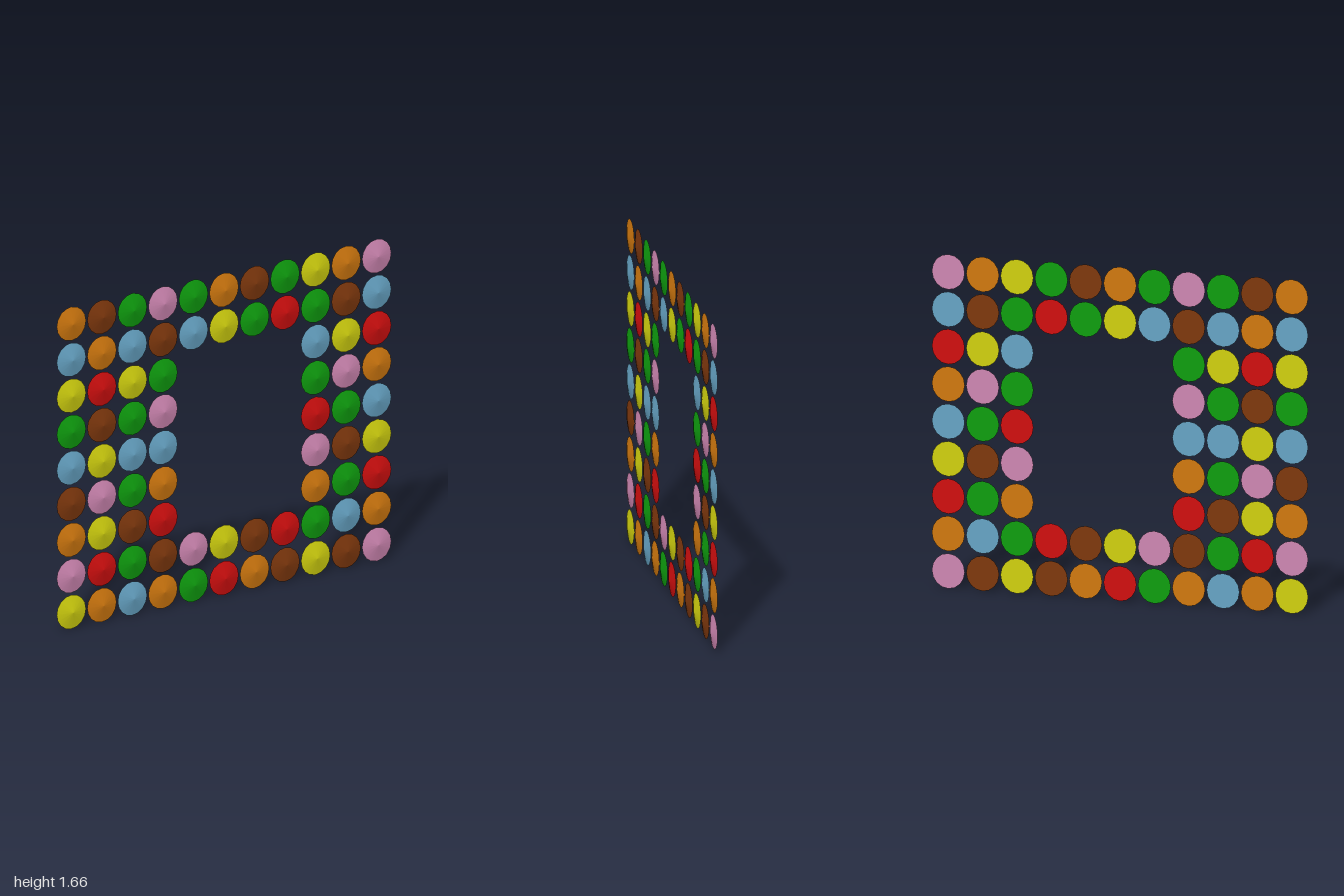
import * as THREE from 'three';

const COLORS = {
  O: ['orange', 0xd2790f], N: ['brown', 0x7f380d], G: ['green', 0x0f9f0f],
  P: ['pink', 0xd087b3], B: ['blue', 0x67a5c6], Y: ['yellow', 0xd2d20f], R: ['red', 0xd20f0f],
};

// Frame pattern: rows from top to bottom, columns from +z to -z, dots are the opening
const ROWS = [
  'ONGPGONGYOP',
  'BOBNBYGRGNB',
  'YRYG....BYR',
  'GNGP....GPO',
  'BYBB....RGB',
  'NPGO....PNY',
  'OYNR....OGR',
  'PRGNPYNRGBO',
  'YOBOGRONYNP',
];

const RADIUS = 0.0875;
const DEPTH = 0.018;
const STEP_Z = 0.1825;
const STEP_Y = 0.1855;

export function createModel() {
  const group = new THREE.Group();
  group.name = 'buttonFrame';

  // Shallow cone button: flat back towards -x, raised centre towards +x
  const geometry = new THREE.ConeGeometry(RADIUS, DEPTH, 16);
  geometry.rotateZ(-Math.PI / 2);

  const materials = {};
  for (const key in COLORS) {
    materials[key] = new THREE.MeshStandardMaterial({ color: COLORS[key][1] });
  }

  // Buttons laid out on the grid
  ROWS.forEach((row, r) => {
    [...row].forEach((key, c) => {
      if (key === '.') return;
      const button = new THREE.Mesh(geometry, materials[key]);
      button.name = `${COLORS[key][0]}Button`;
      button.position.set(0, RADIUS + (ROWS.length - 1 - r) * STEP_Y, (5 - c) * STEP_Z);
      group.add(button);
    });
  });
  return group;
}
